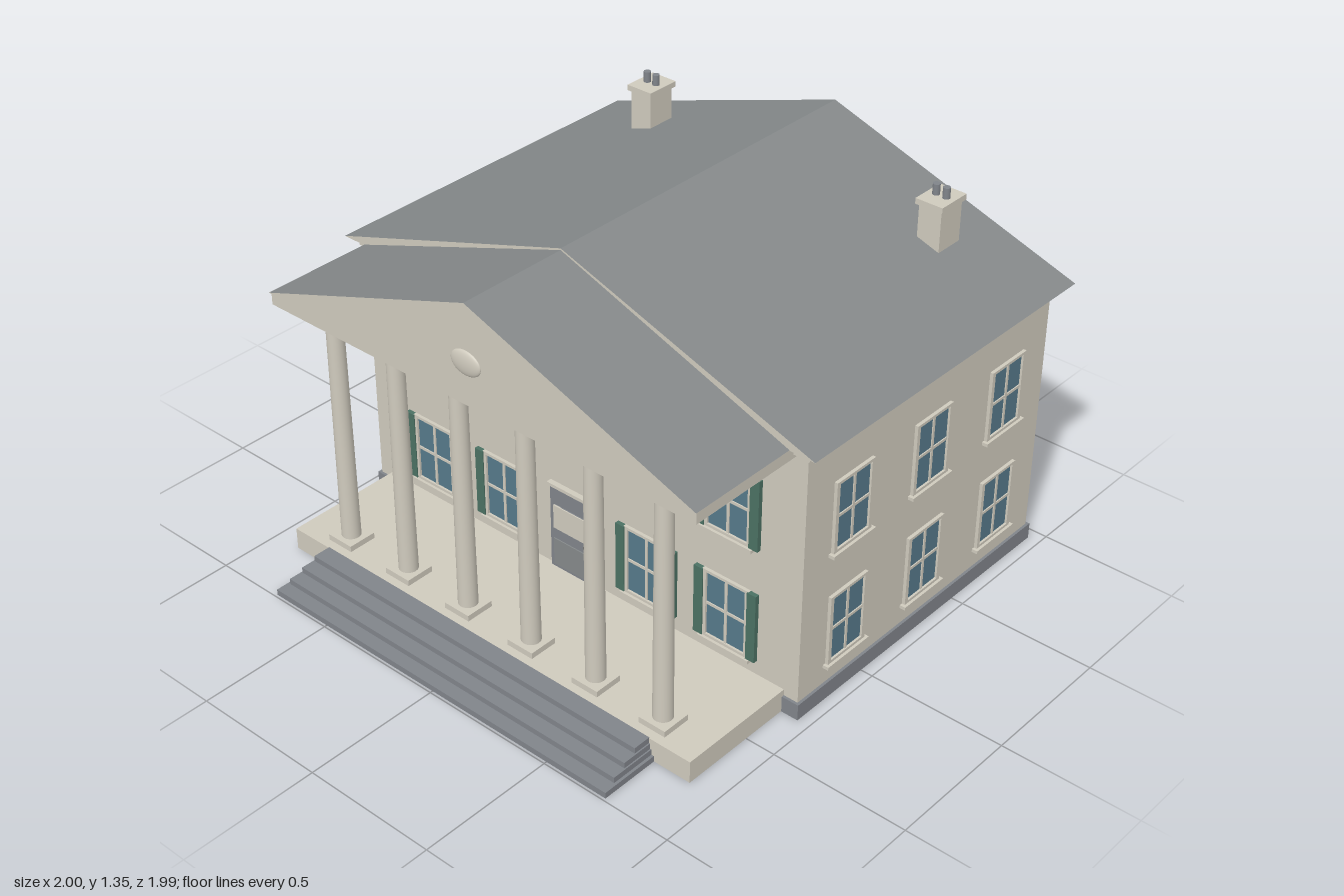
import * as THREE from 'three';

const mat = (name, color) => {
  const m = new THREE.MeshStandardMaterial({ color });
  m.name = name;
  return m;
};

export function createModel() {
  const house = new THREE.Group();
  house.name = 'house';
  const cream = mat('cream', 0xcfcabd);
  const roofGrey = mat('roofGrey', 0x85898a);
  const stone = mat('stoneGrey', 0x80848a);
  const glass = mat('windowGlass', 0x56798a);
  const green = mat('shutterGreen', 0x4b7163);
  const dark = mat('darkMetal', 0x3a3c3e);

  const add = (parent, name, geo, m, x = 0, y = 0, z = 0) => {
    const mesh = new THREE.Mesh(geo, m);
    mesh.name = name;
    mesh.position.set(x, y, z);
    parent.add(mesh);
    return mesh;
  };
  // Box given by its lower and upper limits on each axis
  const box = (parent, name, m, x0, x1, y0, y1, z0, z1) =>
    add(parent, name, new THREE.BoxGeometry(x1 - x0, y1 - y0, z1 - z0), m,
      (x0 + x1) / 2, (y0 + y1) / 2, (z0 + z1) / 2);
  // Gabled roof: cream gables, grey slopes and soffit
  const gable = (name, half, y0, y1, z0, z1) => {
    const s = new THREE.Shape([
      new THREE.Vector2(-half, y0), new THREE.Vector2(half, y0), new THREE.Vector2(0, y1),
    ]);
    const g = new THREE.ExtrudeGeometry(s, { depth: z1 - z0, bevelEnabled: false });
    add(house, name, g, [cream, roofGrey], 0, 0, z0);
  };

  // Body
  box(house, 'foundation', stone, -0.955, 0.955, 0, 0.06, -0.955, 0.328);
  box(house, 'walls', cream, -0.945, 0.945, 0.06, 0.99, -0.945, 0.318);
  box(house, 'cornice', cream, -0.96, 0.96, 0.99, 1.02, -0.96, 0.333);
  gable('mainRoof', 1, 1.02, 1.352, -1, 0.36);

  // Portico
  box(house, 'porchFloor', cream, -0.89, 0.89, 0.001, 0.083, 0.3, 0.77);
  box(house, 'entablature', cream, -0.9, 0.9, 0.977, 1.022, 0.3, 0.77);
  gable('porticoRoof', 0.905, 1.022, 1.346, 0.3, 0.777);
  const oval = add(house, 'pedimentOval', new THREE.SphereGeometry(1, 32, 16), cream, 0, 1.138, 0.777);
  oval.scale.set(0.063, 0.044, 0.014);

  // Columns
  for (const x of [-0.705, -0.424, -0.143, 0.143, 0.424, 0.705]) {
    const col = new THREE.Group();
    col.name = 'column';
    col.position.set(x, 0, 0.682);
    box(col, 'plinth', cream, -0.054, 0.054, 0.083, 0.105, -0.054, 0.054);
    add(col, 'shaft', new THREE.CylinderGeometry(0.03, 0.034, 0.872, 24), cream, 0, 0.541, 0);
    house.add(col);
  }

  // Front steps
  [[0.745, 0.022, 0.99], [0.735, 0.043, 0.94], [0.73, 0.064, 0.888], [0.725, 0.085, 0.835]]
    .forEach(([h, top, z], i) =>
      box(house, 'step', stone, -h, h, i ? top - 0.021 : 0, top, 0.768, z));

  // Window facing local +z, origin at the middle of the panes on the wall
  const frameShape = new THREE.Shape([[-0.094, -0.132], [0.094, -0.132], [0.094, 0.132], [-0.094, 0.132]]
    .map(p => new THREE.Vector2(...p)));
  frameShape.holes.push(new THREE.Path([[-0.079, -0.122], [-0.079, 0.122], [0.079, 0.122], [0.079, -0.122]]
    .map(p => new THREE.Vector2(...p))));
  const frameGeo = new THREE.ExtrudeGeometry(frameShape, { depth: 0.012, bevelEnabled: false });
  const addWindow = (x, y, z, turn, shutters) => {
    const w = new THREE.Group();
    w.name = 'window';
    w.position.set(x, y, z);
    w.rotation.y = turn;
    add(w, 'frame', frameGeo, cream);
    box(w, 'panes', glass, -0.08, 0.08, -0.123, 0.123, -0.002, 0.004);
    box(w, 'verticalBar', cream, -0.005, 0.005, -0.123, 0.123, 0, 0.008);
    box(w, 'crossBar', cream, -0.08, 0.08, -0.005, 0.005, 0, 0.008);
    box(w, 'sill', cream, -0.105, 0.105, -0.144, -0.132, 0, 0.022);
    if (shutters) for (const s of [-1, 1])
      box(w, 'shutter', green, s * 0.108 - 0.018, s * 0.108 + 0.018, -0.131, 0.131, 0, 0.016);
    house.add(w);
  };
  for (const y of [0.268, 0.702]) {
    for (const x of [-0.652, -0.319, 0, 0.319, 0.652]) {
      addWindow(x, y, -0.945, Math.PI, false);
      if (x !== 0 || y > 0.5) addWindow(x, y, 0.318, 0, x !== 0);
    }
    for (const z of [0.09, -0.315, -0.72])
      for (const s of [-1, 1]) addWindow(s * 0.945, y, z, s * Math.PI / 2, false);
  }

  // Front door
  const door = new THREE.Group();
  door.name = 'frontDoor';
  door.position.z = 0.318;
  box(door, 'doorSurround', stone, -0.1, 0.1, 0.083, 0.41, 0, 0.012);
  box(door, 'lintel', cream, -0.107, 0.107, 0.41, 0.422, 0, 0.02);
  box(door, 'doorLeaf', stone, -0.08, 0.08, 0.09, 0.34, 0.01, 0.016);
  box(door, 'upperPanel', cream, -0.08, 0.08, 0.248, 0.34, 0.014, 0.02);
  box(door, 'lowerPanel', roofGrey, -0.08, 0.08, 0.1, 0.205, 0.014, 0.02);
  add(door, 'doorKnob', new THREE.SphereGeometry(0.008, 12, 8), dark, 0.066, 0.237, 0.024);
  house.add(door);

  // Chimneys
  for (const s of [-1, 1]) {
    const c = new THREE.Group();
    c.name = 'chimney';
    c.position.set(s * 0.618, 0, -0.758);
    box(c, 'stack', cream, -0.044, 0.044, 1.08, 1.282, -0.056, 0.056);
    box(c, 'cap', cream, -0.053, 0.053, 1.282, 1.303, -0.066, 0.066);
    for (const x of [-0.02, 0.02])
      add(c, 'pot', new THREE.CylinderGeometry(0.013, 0.013, 0.04, 16), stone, x, 1.322, 0);
    house.add(c);
  }
  return house;
}
